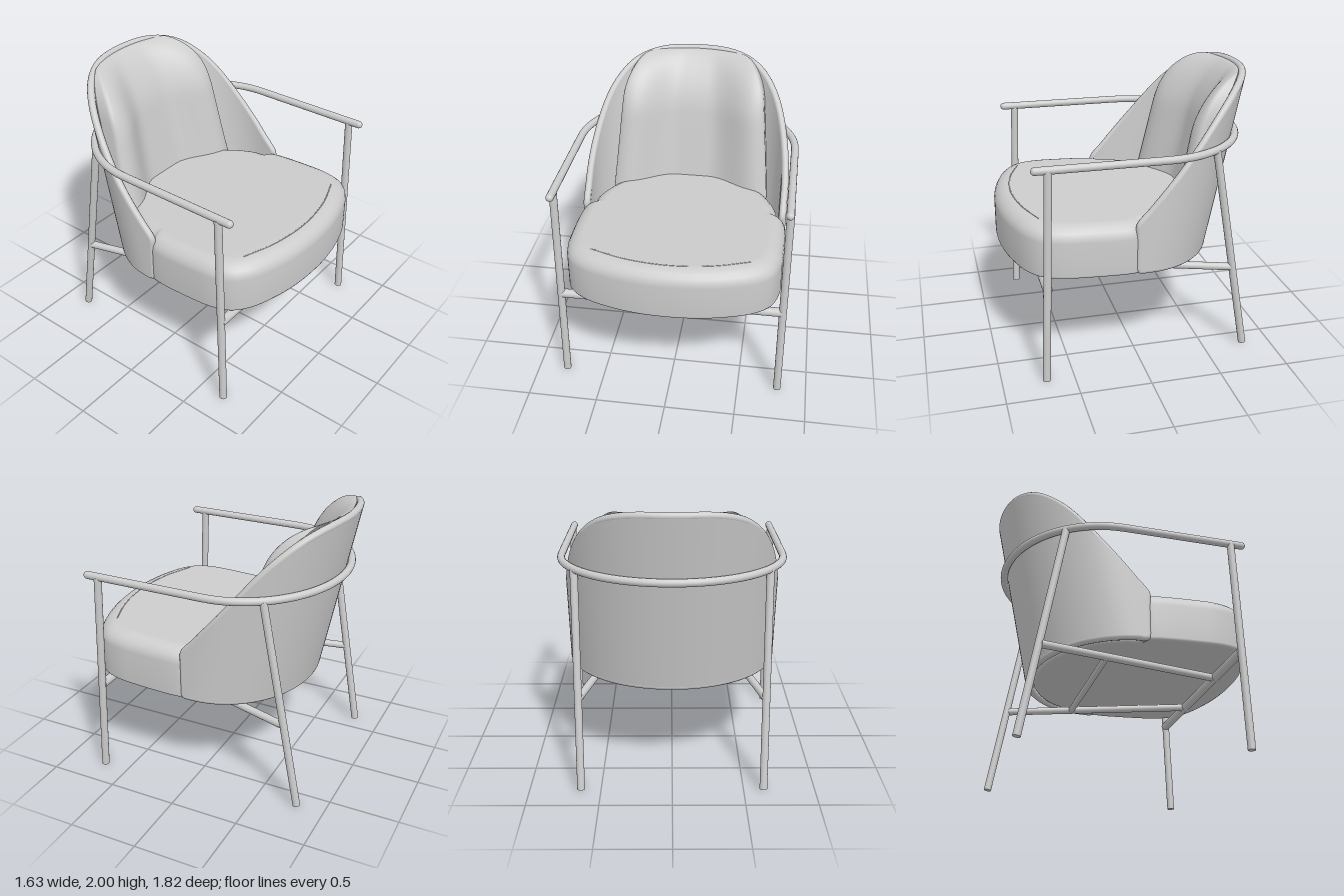
import * as THREE from 'three';

const V = (x, y, z) => new THREE.Vector3(x, y, z);
const lerp = THREE.MathUtils.lerp;
const smooth = THREE.MathUtils.smoothstep;
const ROD = 0.027;    // frame tube radius
const LEAN = 0.208;   // how far the back leans per unit of height
const lean = (z, y) => z - LEAN * (y - 0.7);

const material = new THREE.MeshStandardMaterial({ color: 0xcccccc, side: THREE.DoubleSide });
material.name = 'light grey';

// Surface through a grid of points, point(i, j) with i in 0..nu and j in 0..nv
function grid(nu, nv, point) {
  const pos = [], index = [];
  for (let j = 0; j <= nv; j++)
    for (let i = 0; i <= nu; i++) pos.push(...point(i, j).toArray());
  for (let j = 0; j < nv; j++)
    for (let i = 0; i < nu; i++) {
      const a = j * (nu + 1) + i, b = a + 1, c = a + nu + 1, d = c + 1;
      index.push(a, b, d, a, d, c);
    }
  const g = new THREE.BufferGeometry();
  g.setAttribute('position', new THREE.Float32BufferAttribute(pos, 3));
  g.setIndex(index);
  g.computeVertexNormals();
  return g;
}

function add(parent, name, geometry) {
  const m = new THREE.Mesh(geometry, material);
  m.name = name;
  parent.add(m);
  return m;
}

// Straight round bar between two points
function bar(parent, name, a, b, r = ROD) {
  const m = add(parent, name, new THREE.CylinderGeometry(r, r, a.distanceTo(b), 20));
  m.position.copy(a).lerp(b, 0.5);
  m.quaternion.setFromUnitVectors(V(0, 1, 0), b.clone().sub(a).normalize());
}

function makeFrame() {
  const frame = new THREE.Group();
  frame.name = 'frame';
  for (const s of [1, -1]) {
    bar(frame, 'frontLeg', V(s * 0.79, 0, 0.695), V(s * 0.79, 1.53, 0.643));
    bar(frame, 'backLeg', V(s * 0.64, 0.005, -0.8), V(s * 0.662, 1.53, -0.53));
    bar(frame, 'diagonalSeatBar', V(s * 0.65, 0.642, -0.675), V(s * 0.31, 0.692, 0.665));
    add(frame, 'armEnd', new THREE.SphereGeometry(ROD, 20, 12)).position.set(s * 0.787, 1.533, 0.727);
  }
  bar(frame, 'frontSeatBar', V(-0.79, 0.694, 0.668), V(0.79, 0.694, 0.668), 0.032);
  bar(frame, 'rearSeatBar', V(-0.53, 0.66, -0.2), V(0.53, 0.66, -0.2), 0.024);

  // Arm rail: straight arms joined by a half ellipse behind the back
  const path = new THREE.CurvePath();
  const arc = [];
  for (let i = 0; i <= 32; i++) {
    const a = (i / 32) * Math.PI;
    arc.push(V(0.787 * Math.cos(a), 1.533, -0.15 - 0.697 * Math.sin(a)));
  }
  path.add(new THREE.LineCurve3(V(0.787, 1.533, 0.727), arc[0]));
  path.add(new THREE.CatmullRomCurve3(arc));
  path.add(new THREE.LineCurve3(arc[32], V(-0.787, 1.533, 0.727)));
  add(frame, 'armRail', new THREE.TubeGeometry(path, 120, ROD, 16));
  return frame;
}

// Rim of the shell: angle around the back against height
const rim = new THREE.CatmullRomCurve3([
  [-0.16, 1.09], [0.2, 1.43], [0.52, 1.73], [0.7, 1.85], [0.86, 1.925],
  [1.03, 1.97], [1.25, 1.995], [Math.PI / 2, 2]
].map(([a, y]) => V(a, y, 0)));

// u runs -1..1 from one front edge to the other, v from bottom to rim
function shellPoint(u, v, inset) {
  const a = 0.76 - inset, b = 0.645 - inset;
  const r = rim.getPoint(1 - Math.abs(u));
  const low = lerp(-0.05, Math.PI / 2, (r.x + 0.16) / (Math.PI / 2 + 0.16));
  const phi = lerp(low, r.x, v);
  const z = phi < 0 ? -b * phi : -b * Math.sin(phi);
  const x = phi < 0 ? a : a * Math.cos(phi);
  const y = lerp(0.74 - 0.037 * 0.64 * Math.sin(low), r.y - 0.026, v);
  return V(Math.sign(u) * x, y, lean(z, y));
}

function makeShell() {
  const shell = new THREE.Group();
  shell.name = 'backShell';
  const n = 80;
  for (const [name, inset] of [['shellOutside', 0], ['shellInside', 0.052]])
    add(shell, name, grid(n, 16, (i, j) => shellPoint(2 * i / n - 1, j / 16, inset)));

  // Rounded border around the whole edge
  const edge = [];
  for (let i = 0; i < 8; i++) edge.push(shellPoint(-1, i / 8, 0.026));
  for (let i = 0; i < 48; i++) edge.push(shellPoint(i / 24 - 1, 1, 0.026));
  for (let i = 0; i < 8; i++) edge.push(shellPoint(1, 1 - i / 8, 0.026));
  for (let i = 0; i < 48; i++) edge.push(shellPoint(1 - i / 24, 0, 0.026));
  add(shell, 'shellBorder', new THREE.TubeGeometry(new THREE.CatmullRomCurve3(edge, true), 260, 0.0265, 12, true));
  return shell;
}

function makeSeat() {
  const seat = new THREE.Group();
  seat.name = 'seat';
  // Half outline from the rear centre to the front centre, then mirrored
  const half = [
    [0, -0.59], [0.2, -0.565], [0.4, -0.48], [0.58, -0.33], [0.685, -0.12], [0.7, -0.01], [0.742, 0.025],
    [0.76, 0.08], [0.765, 0.4], [0.752, 0.56], [0.705, 0.69], [0.6, 0.78], [0.42, 0.85], [0.22, 0.893], [0, 0.907]
  ];
  const mirrored = half.slice(1, -1).reverse().map(([x, z]) => [-x, z]);
  const outline = new THREE.CatmullRomCurve3([...half, ...mirrored].map(([x, z]) => V(x, 0, z)), true, 'centripetal');
  const ring = outline.getPoints(160);
  const slope = (z) => 0.037 * z;
  const layer = (i, h, inset) => {
    const k = 1 - inset / 0.765, z = 0.13 + (ring[i].z - 0.13) * k;
    return V(ring[i].x * k, 0.717 + h + slope(z), z);
  };
  // Height and inset of each layer, closing at the centre of the top
  const side = [[0, 0.02], [0.006, 0.007], [0.02, 0], [0.14, 0], [0.26, 0], [0.293, 0.006], [0.322, 0.021],
    [0.346, 0.045], [0.361, 0.073], [0.367, 0.1], [0.368, 0.115], [0.368, 0.3], [0.368, 0.765]];
  add(seat, 'seatCushion', grid(160, side.length - 1, (i, j) => layer(i, ...side[j])));
  add(seat, 'seatUnderside', grid(160, 1, (i, j) => layer(i, 0, j ? 0.02 : 0.765)));

  // Stitched seam along the front of the top
  const seam = [-0.55, -0.3, 0, 0.3, 0.55].map((x) => {
    const z = 0.795 - 0.4 * x * x;
    return V(x, 1.084 + slope(z), z);
  });
  add(seat, 'seatSeam', new THREE.TubeGeometry(new THREE.CatmullRomCurve3(seam), 40, 0.004, 6));
  return seat;
}

function makeBackCushion() {
  // Share of the half width and of the padding depth, from side to centre
  const half = [[1, 0], [1, 0.4], [1, 0.7], [0.995, 0.85], [0.975, 0.95], [0.94, 0.99], [0.88, 1]];
  for (let q = 0.82; q > 0.01; q -= 0.06) half.push([q, 1]);
  const section = [...half.map(([q, d]) => [-q, d]), [0, 1], ...half.slice().reverse()];
  const levels = 32;
  return grid(section.length - 1, levels, (i, j) => {
    const [q, d] = section[i];
    const y = 1.0 + 0.98 * Math.sin((j / levels) * Math.PI / 2);
    const corner = Math.max(0, (y - 1.7) / 0.28);
    const width = 0.59 - 0.09 * (y - 1.1) - 0.17 * (1 - Math.sqrt(Math.max(0, 1 - corner * corner)));
    const top = Math.max(0, (y - 1.57) / 0.41);
    const padding = Math.pow(Math.max(0, 1 - top * top), 0.7);
    const x = q * width;
    const back = -0.59 * Math.sqrt(1 - (x / 0.71) ** 2);
    const front = -0.4 + 0.17 * smooth(Math.abs(q), 0.22, 0.85) - 0.015 * smooth(Math.abs(q), 0.88, 1);
    return V(x, y, lean(lerp(back, front, d * padding), y));
  });
}

export function createModel() {
  const chair = new THREE.Group();
  chair.name = 'armchair';
  chair.add(makeFrame(), makeShell(), makeSeat());
  add(chair, 'backCushion', makeBackCushion());
  return chair;
}
